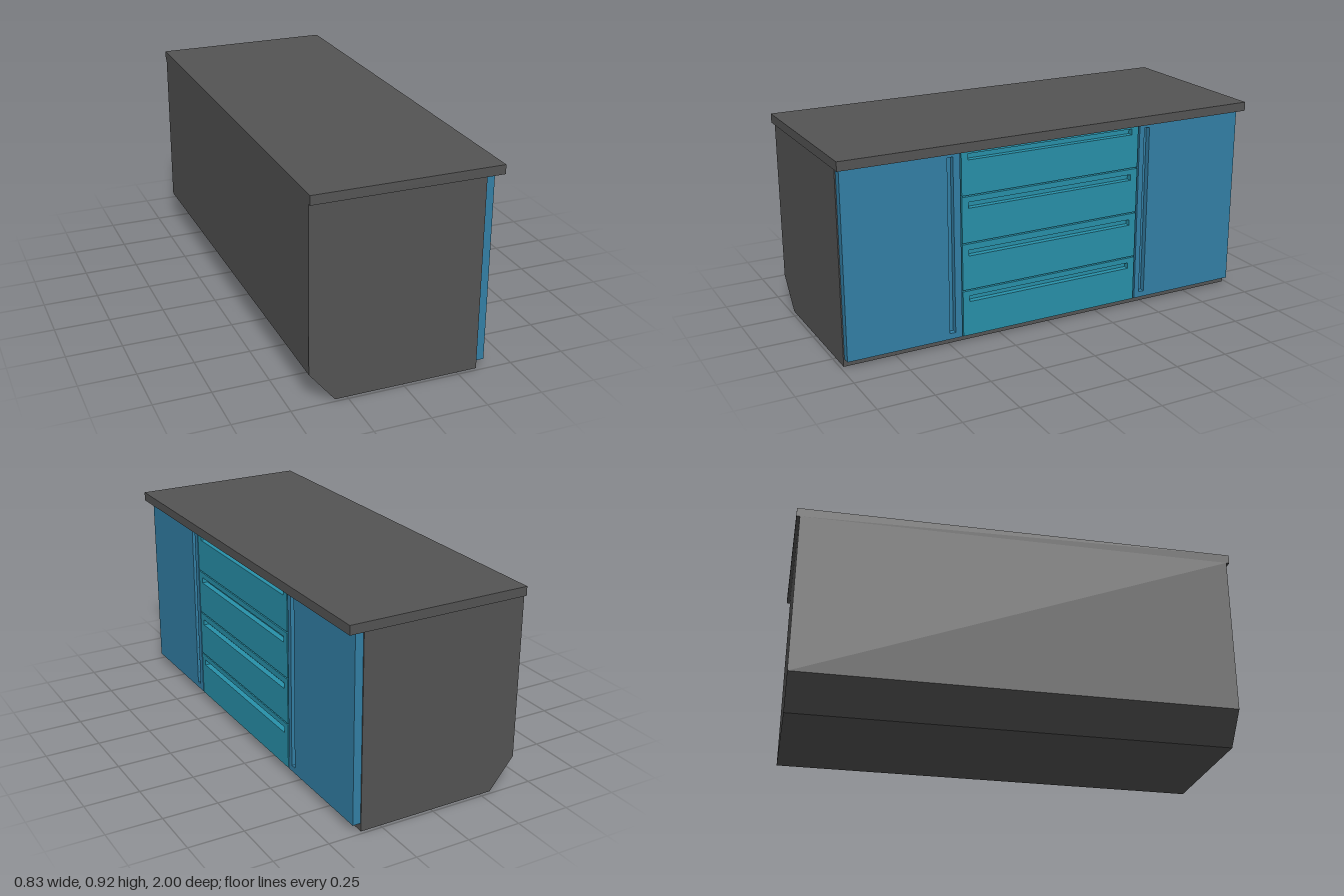
import * as THREE from 'three';

const mat = (color) => new THREE.MeshStandardMaterial({ color, flatShading: true });
const grey = mat(0x545454), blue = mat(0x3380a6), teal = mat(0x2891aa);

const FRONT = 0.342, THICK = 0.036, SLOT = 0.026;

function add(parent, name, geometry, material, x = 0, y = 0, z = 0) {
  const mesh = new THREE.Mesh(geometry, material);
  mesh.name = name;
  mesh.position.set(x, y, z);
  parent.add(mesh);
  return mesh;
}

// Rectangle on the cabinet face, given by z and y ranges (shape x runs along -z)
function rect(path, [z0, z1], [y0, y1]) {
  path.moveTo(-z1, y0);
  path.lineTo(-z0, y0);
  path.lineTo(-z0, y1);
  path.lineTo(-z1, y1);
  path.closePath();
  return path;
}

// Front panel facing +x with a recessed finger slot
function panel(parent, name, material, zs, ys, slotZ, slotY) {
  const group = new THREE.Group();
  group.name = name;
  const face = rect(new THREE.Shape(), zs, ys);
  face.holes.push(rect(new THREE.Path(), slotZ, slotY));
  const faceGeo = new THREE.ExtrudeGeometry(face, { depth: SLOT, bevelEnabled: false });
  const backGeo = new THREE.ExtrudeGeometry(rect(new THREE.Shape(), zs, ys),
    { depth: THICK - SLOT, bevelEnabled: false });
  faceGeo.rotateY(Math.PI / 2);
  backGeo.rotateY(Math.PI / 2);
  add(group, name + 'Face', faceGeo, material, FRONT + THICK - SLOT);
  add(group, name + 'Back', backGeo, material, FRONT);
  parent.add(group);
}

export function createModel() {
  const model = new THREE.Group();
  model.name = 'baseCabinet';

  // Carcass with the lower rear edge cut away
  const side = new THREE.Shape([
    [-0.417, 0.14], [-0.303, 0], [FRONT, 0], [FRONT, 0.88], [-0.417, 0.88],
  ].map(([x, y]) => new THREE.Vector2(x, y)));
  add(model, 'carcass',
    new THREE.ExtrudeGeometry(side, { depth: 1.97, bevelEnabled: false }), grey, 0, 0, -0.985);

  // Worktop
  add(model, 'worktop', new THREE.BoxGeometry(0.832, 0.041, 2), grey, -0.001, 0.9005, 0);

  // Doors with upright slots
  panel(model, 'leftDoor', blue, [-0.98, -0.444], [0.035, 0.88], [-0.496, -0.469], [0.062, 0.857]);
  panel(model, 'rightDoor', blue, [0.448, 0.98], [0.035, 0.88], [0.48, 0.507], [0.062, 0.857]);

  // Four drawers: bottom, top and slot top
  [[0.035, 0.244, 0.22], [0.25, 0.46, 0.432], [0.466, 0.673, 0.648], [0.679, 0.88, 0.861]]
    .forEach(([y0, y1, slot], i) => panel(model, `drawer${i + 1}`, teal,
      [-0.436, 0.442], [y0, y1], [-0.402, 0.411], [slot - 0.027, slot]));

  return model;
}
